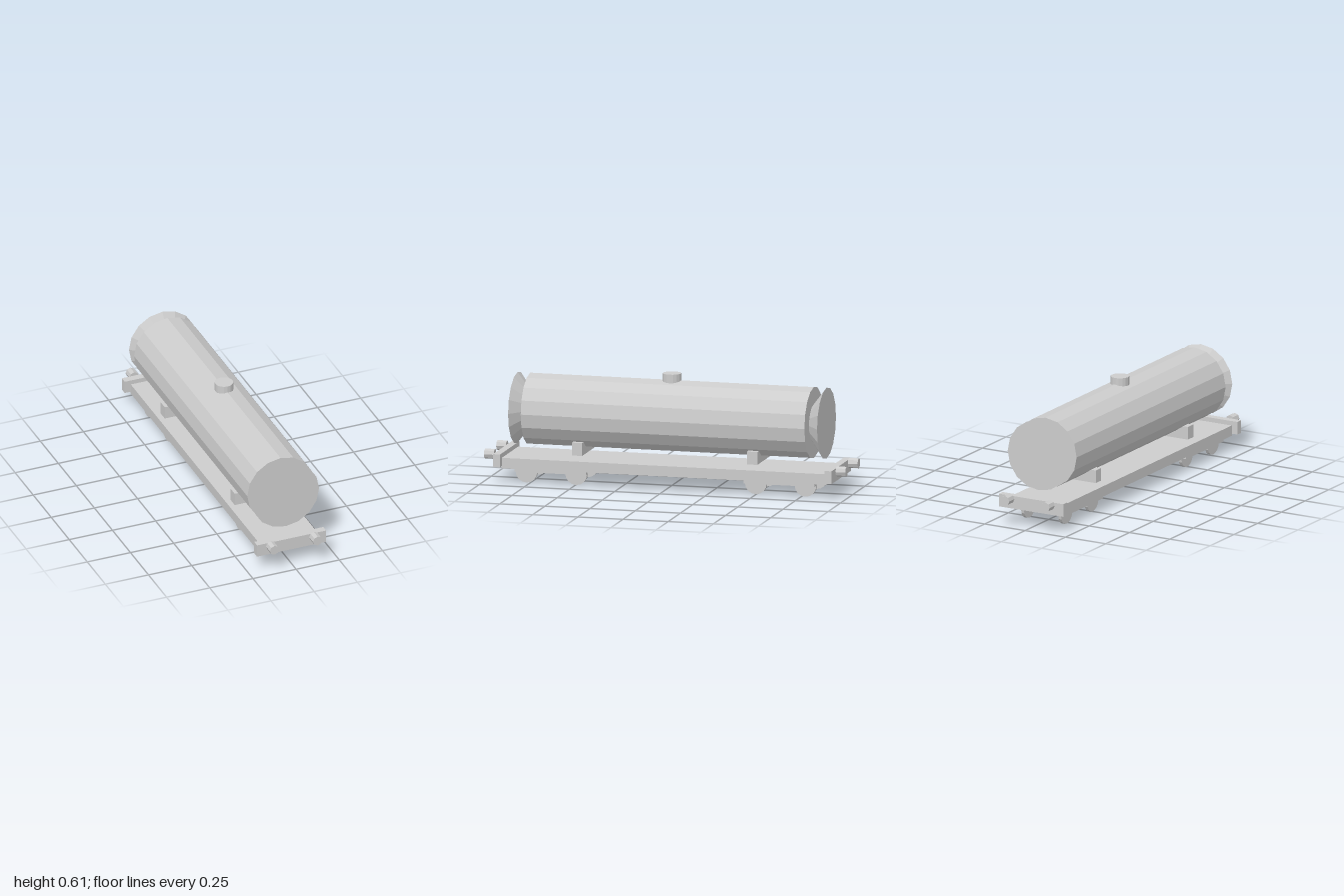
import * as THREE from 'three';

export function createModel() {
  const model = new THREE.Group();
  model.name = 'tankWagon';
  const grey = new THREE.MeshStandardMaterial({ color: 0xcccccc, flatShading: true });
  grey.name = 'light grey';

  function add(name, geometry, x, y, z) {
    const mesh = new THREE.Mesh(geometry, grey);
    mesh.name = name;
    mesh.position.set(x, y, z);
    model.add(mesh);
  }
  const box = (w, h, d) => new THREE.BoxGeometry(w, h, d);
  // Cylinder lying along z; rFront is the radius at its +z end
  const lying = (rFront, rBack, length, sides) =>
    new THREE.CylinderGeometry(rFront, rBack, length, sides).rotateX(Math.PI / 2);

  // Tank barrel and filler dome
  add('tank', lying(0.193, 0.193, 1.57, 16), 0, 0.381, 0);
  add('fillerDome', new THREE.CylinderGeometry(0.05, 0.05, 0.07, 16), 0, 0.576, 0);

  // Flat chassis deck
  add('chassis', box(0.33, 0.057, 1.8), 0, 0.107, 0);

  for (const end of [1, -1]) {
    const endName = end > 0 ? 'front' : 'back';

    // Flared tank end, wide side outwards
    const flare = end > 0 ? lying(0.193, 0.1, 0.07, 16) : lying(0.1, 0.193, 0.07, 16);
    add(endName + 'TankEnd', flare, 0, 0.381, end * 0.82);

    // Saddle under the tank and cross beam at the end of the deck
    add(endName + 'Saddle', box(0.304, 0.07, 0.057), 0, 0.2, end * 0.485);
    add(endName + 'EndBeam', box(0.4, 0.07, 0.04), 0, 0.125, end * 0.917);

    for (const side of [1, -1]) {
      const name = endName + (side > 0 ? 'Left' : 'Right');

      // Round bumper ahead of the beam
      add(name + 'Bumper', lying(0.027, 0.027, 0.054, 8), side * 0.125, 0.147, end * 0.973);

      // Bogie bar outside its two wheels
      add(name + 'BogieBar', box(0.028, 0.018, 0.394), side * 0.138, 0.07, end * 0.633);
      for (const z of [0.497, 0.772]) {
        const wheel = new THREE.CylinderGeometry(0.06, 0.06, 0.018, 16).rotateZ(Math.PI / 2);
        add(name + 'Wheel', wheel, side * 0.115, 0.06, end * z);
      }
    }
  }
  return model;
}
